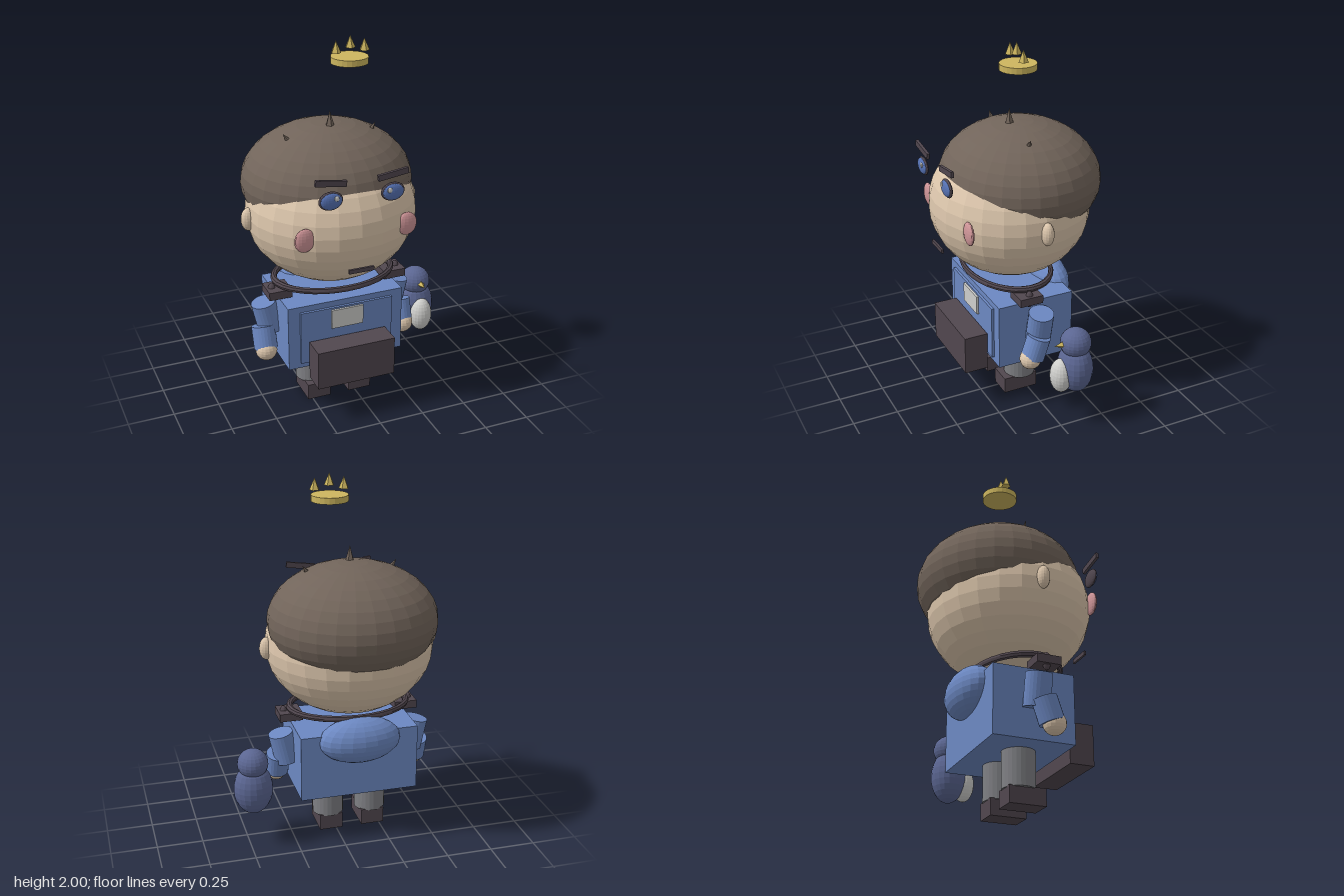
import * as THREE from 'three';

const mat = (name, color) => {
  const m = new THREE.MeshStandardMaterial({ color, flatShading: true });
  m.name = name;
  return m;
};

export function createModel() {
  const skin = mat('skin', 0xdcc6ac), hairBrown = mat('hair brown', 0x71645a);
  const dark = mat('dark brown', 0x51474f), blue = mat('cloth blue', 0x6c88c2);
  const navy = mat('bird navy', 0x5b6692), grey = mat('trouser grey', 0x7f8084);
  const white = mat('pale grey', 0xcfcfcc), pink = mat('cheek pink', 0xcf9598);
  const gold = mat('gold', 0xcdb65f), iris = mat('eye blue', 0x5672b4);

  const model = new THREE.Group();
  model.name = 'figure';
  const person = new THREE.Group();
  person.name = 'person';
  person.position.x = -0.092;
  model.add(person);

  // Helpers: place a mesh, and shorthand for the repeated solids
  const put = (parent, name, geo, material, pos, rot = [0, 0, 0]) => {
    const mesh = new THREE.Mesh(geo, material);
    mesh.name = name;
    mesh.position.set(...pos);
    mesh.rotation.set(...rot);
    parent.add(mesh);
    return mesh;
  };
  const box = (w, h, d) => new THREE.BoxGeometry(w, h, d);
  const ball = (rx, ry, rz, ws = 20, hs = 14) => new THREE.SphereGeometry(1, ws, hs).scale(rx, ry, rz);
  const tube = (r, h) => new THREE.CylinderGeometry(r, r, h, 24);
  const spike = (r, h) => new THREE.ConeGeometry(r, h, 5);

  // Head and hair overlap so the hairline slopes down to the back
  put(person, 'head', ball(0.455, 0.385, 0.43, 24, 18), skin, [0, 1.09, 0.024]);
  put(person, 'hair', ball(0.455, 0.308, 0.43, 28, 18), hairBrown, [0, 1.235, -0.037]);
  put(person, 'hairSpike', spike(0.029, 0.1), hairBrown, [0, 1.567, 0.02]);
  put(person, 'mouth', box(0.135, 0.022, 0.012), dark, [0, 0.908, 0.442]);

  // Torso with front panel, patch, pouch and hood
  put(person, 'torso', box(0.65, 0.365, 0.434), blue, [0, 0.4605, 0.021]);
  put(person, 'frontPanel', box(0.52, 0.3, 0.02), blue, [0, 0.46, 0.242]);
  put(person, 'chestPatch', box(0.178, 0.107, 0.016), white, [0, 0.546, 0.256]);
  put(person, 'pouch', box(0.435, 0.215, 0.132), dark, [0, 0.33, 0.325]);
  put(person, 'hood', ball(0.225, 0.128, 0.112), blue, [0, 0.602, -0.19]);

  // Oval neck ring
  const ring = new THREE.TorusGeometry(1, 0.055, 8, 32).rotateX(Math.PI / 2).scale(0.327, 0.34, 0.226);
  put(person, 'neckRing', ring, dark, [0, 0.722, 0.047]);

  // Mirrored parts
  for (const s of [-1, 1]) {
    put(person, 'hairTuft', spike(0.02, 0.06), hairBrown, [s * 0.238, 1.5, 0.02], [0, 0, -s * 0.6]);
    put(person, 'ear', ball(0.04, 0.063, 0.033, 16, 12), skin, [s * 0.453, 1.09, 0.022]);
    put(person, 'cheek', ball(0.055, 0.063, 0.02, 16, 12), pink, [s * 0.277, 1.09, 0.378]);
    put(person, 'eyeRim', ball(0.064, 0.049, 0.016, 20, 12), dark, [s * 0.164, 1.31, 0.443]);
    put(person, 'eye', ball(0.056, 0.042, 0.016, 20, 12), iris, [s * 0.164, 1.31, 0.45]);
    put(person, 'eyeGlint', ball(0.014, 0.014, 0.006, 10, 8), white, [s * 0.14, 1.325, 0.463]);
    put(person, 'eyebrow', box(0.163, 0.031, 0.016), dark, [s * 0.164, 1.402, 0.445], [0, 0, s * 0.14]);
    put(person, 'ringBlock', box(0.126, 0.044, 0.13), dark, [s * 0.327, 0.68, 0.076]);
    put(person, 'ringKnob', ball(0.022, 0.048, 0.022, 12, 10), dark, [s * 0.357, 0.68, 0.076]);
    put(person, 'upperArm', tube(0.068, 0.17), blue, [s * 0.37, 0.512, 0.02], [0, 0, -s * 0.22]);
    put(person, 'forearm', tube(0.064, 0.125), blue, [s * 0.4, 0.405, 0.058], [-0.32, 0, 0]);
    put(person, 'hand', ball(0.059, 0.059, 0.059, 16, 12), skin, [s * 0.402, 0.342, 0.09]);
    put(person, 'leg', tube(0.086, 0.21), grey, [s * 0.122, 0.19, 0.023]);
    put(person, 'shoe', box(0.13, 0.09, 0.195), dark, [s * 0.12, 0.045, 0.045]);
  }

  // Floating crown
  const crown = new THREE.Group();
  crown.name = 'crown';
  crown.position.set(0.016, 0, 0.021);
  model.add(crown);
  put(crown, 'crownBase', tube(0.097, 0.033), gold, [0, 1.874, 0]);
  for (const i of [-1, 0, 1]) {
    put(crown, 'crownPoint', spike(0.027, 0.063), gold, [i * 0.077, i ? 1.947 : 1.968, 0.008]);
  }

  // Small bird companion
  const bird = new THREE.Group();
  bird.name = 'bird';
  bird.position.set(0.475, 0, -0.092);
  model.add(bird);
  put(bird, 'birdBody', ball(0.107, 0.146, 0.093), navy, [0, 0.338, 0]);
  put(bird, 'birdHead', ball(0.084, 0.082, 0.084), navy, [0, 0.486, 0]);
  put(bird, 'birdBelly', ball(0.064, 0.098, 0.06), white, [0, 0.305, 0.084]);
  put(bird, 'beak', new THREE.ConeGeometry(0.024, 0.055, 4), gold, [0, 0.492, 0.097], [Math.PI / 2, 0, 0]);

  return model;
}
